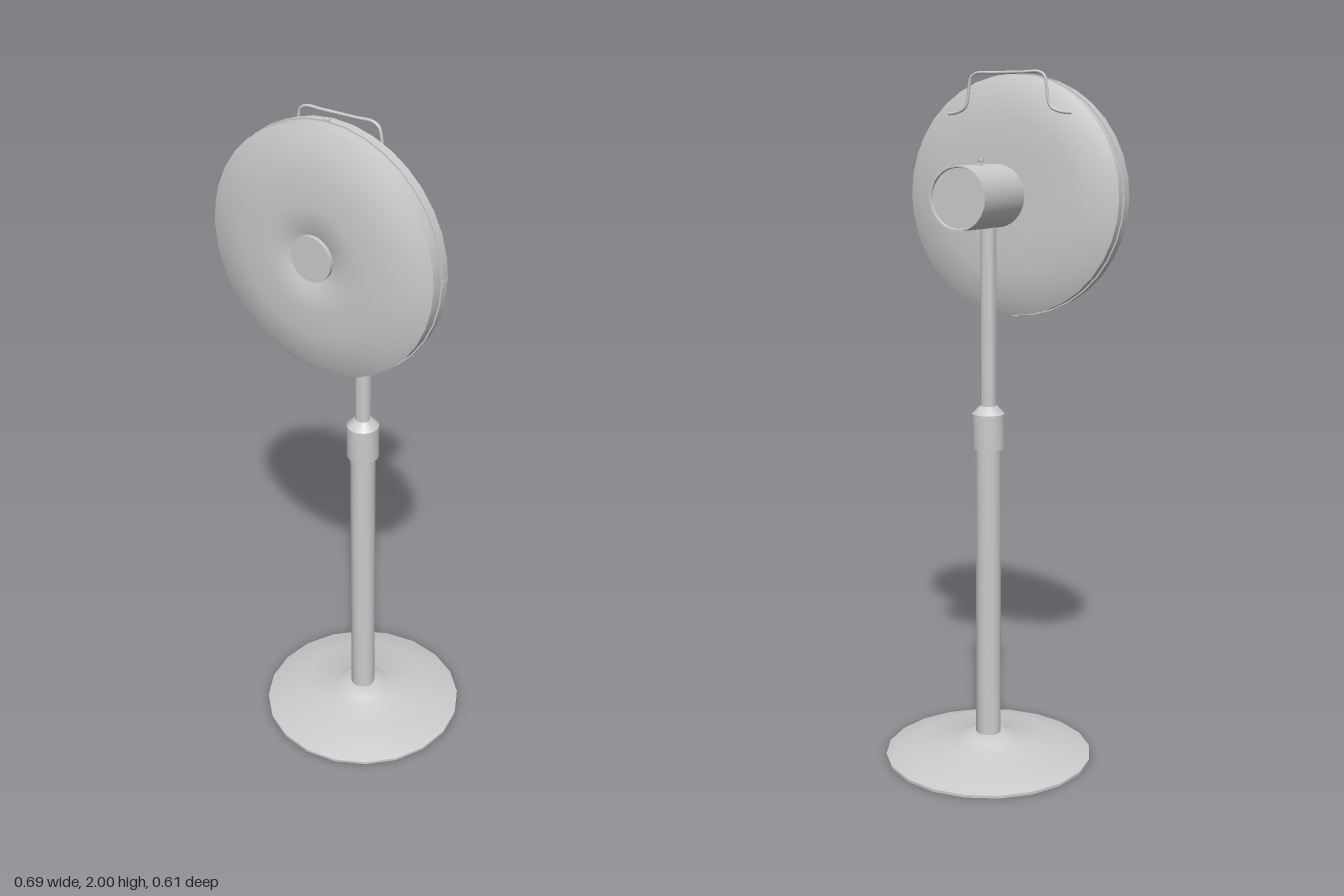
import * as THREE from 'three';
import { toCreasedNormals } from 'three/addons/utils/BufferGeometryUtils.js';

const HEAD_Y = 1.655;

export function createModel() {
  const group = new THREE.Group();
  const material = new THREE.MeshStandardMaterial({ color: 0xcccccc });

  function add(name, geometry, x = 0, y = 0, z = 0) {
    const mesh = new THREE.Mesh(geometry, material);
    mesh.name = name;
    mesh.position.set(x, y, z);
    group.add(mesh);
    return mesh;
  }

  // Turned solid from [radius, height] pairs listed bottom to top
  function turned(profile, sides) {
    const points = profile.map(([r, h]) => new THREE.Vector2(r, h));
    return toCreasedNormals(new THREE.LatheGeometry(points, sides), 0.6);
  }

  // Same, but with the axis along z (listed back to front)
  const turnedZ = (profile, sides) => turned(profile, sides).rotateX(Math.PI / 2);

  // Stepped round foot
  add('base', turned([
    [0, 0], [0.307, 0], [0.307, 0.008], [0.208, 0.04], [0.1, 0.046],
    [0.075, 0.06], [0.045, 0.07], [0, 0.07],
  ], 20));

  // Telescopic stand
  add('lowerPole', turned([[0, 0.06], [0.037, 0.06], [0.037, 0.95], [0, 0.95]], 20));
  add('heightCollar', turned([
    [0, 0.94], [0.047, 0.94], [0.047, 1.042], [0.025, 1.065], [0, 1.065],
  ], 20));
  add('upperPole', turned([[0, 1.05], [0.0225, 1.05], [0.0225, 1.6], [0, 1.6]], 16));

  // Motor housing with a shallow recess in its rear end
  add('motorHousing', turnedZ([
    [0, -0.16], [0.081, -0.16], [0.083, -0.167], [0.088, -0.167],
    [0.088, 0.047], [0.06, 0.065], [0, 0.065],
  ], 32), 0, HEAD_Y + 0.002);
  add('motorNeck', turnedZ([[0, 0.06], [0.058, 0.06], [0.058, 0.105], [0, 0.105]], 32), 0, HEAD_Y);

  // Oscillation knob on top of the motor
  add('oscillationKnob', turned([
    [0, -0.004], [0.005, -0.004], [0.005, 0.009], [0.0095, 0.011], [0.0095, 0.018], [0, 0.02],
  ], 12), -0.02, HEAD_Y + 0.088, -0.075);

  // Closed drum-shaped guard with a dimple around the hub
  add('fanGuard', turnedZ([
    [0, 0.098], [0.13, 0.098], [0.22, 0.099], [0.3, 0.112], [0.34, 0.129],
    [0.34, 0.195], [0.295, 0.215], [0.22, 0.231], [0.14, 0.232], [0.08, 0.231],
    [0.066, 0.223], [0, 0.223],
  ], 36), 0, HEAD_Y - 0.003);
  add('hubCap', turnedZ([[0, 0.22], [0.062, 0.22], [0.062, 0.234], [0, 0.234]], 28), 0, HEAD_Y);

  // Seam band where the two guard halves meet
  add('guardSeam', turnedZ([[0.335, 0.154], [0.344, 0.154], [0.344, 0.161], [0.335, 0.161]], 36),
    0, HEAD_Y - 0.003);

  // Small clips around the seam
  for (let i = 0; i < 4; i++) {
    const a = i * Math.PI / 2;
    const clip = add('guardClip', new THREE.BoxGeometry(0.01, 0.018, 0.012),
      0.341 * Math.cos(a), HEAD_Y - 0.003 + 0.341 * Math.sin(a), 0.156);
    clip.rotation.z = a;
  }

  // Bent-wire carrying handle on the back of the guard
  const half = [
    [0.195, 1.884, 0.11], [0.17, 1.887, 0.107], [0.145, 1.896, 0.104], [0.133, 1.91, 0.103],
    [0.124, 1.965, 0.103], [0.118, 1.985, 0.103], [0.1, 1.9955, 0.103], [0.05, 1.9955, 0.103],
  ].map((p) => new THREE.Vector3(...p));
  const mirrored = half.map((p) => new THREE.Vector3(-p.x, p.y, p.z)).reverse();
  const wire = new THREE.CatmullRomCurve3([...half, ...mirrored], false, 'centripetal');
  add('carryHandle', new THREE.TubeGeometry(wire, 64, 0.0045, 8));
  for (const foot of [half[0], mirrored[mirrored.length - 1]]) {
    add('handleFoot', new THREE.SphereGeometry(0.0045, 8, 6), foot.x, foot.y, foot.z);
  }

  return group;
}
